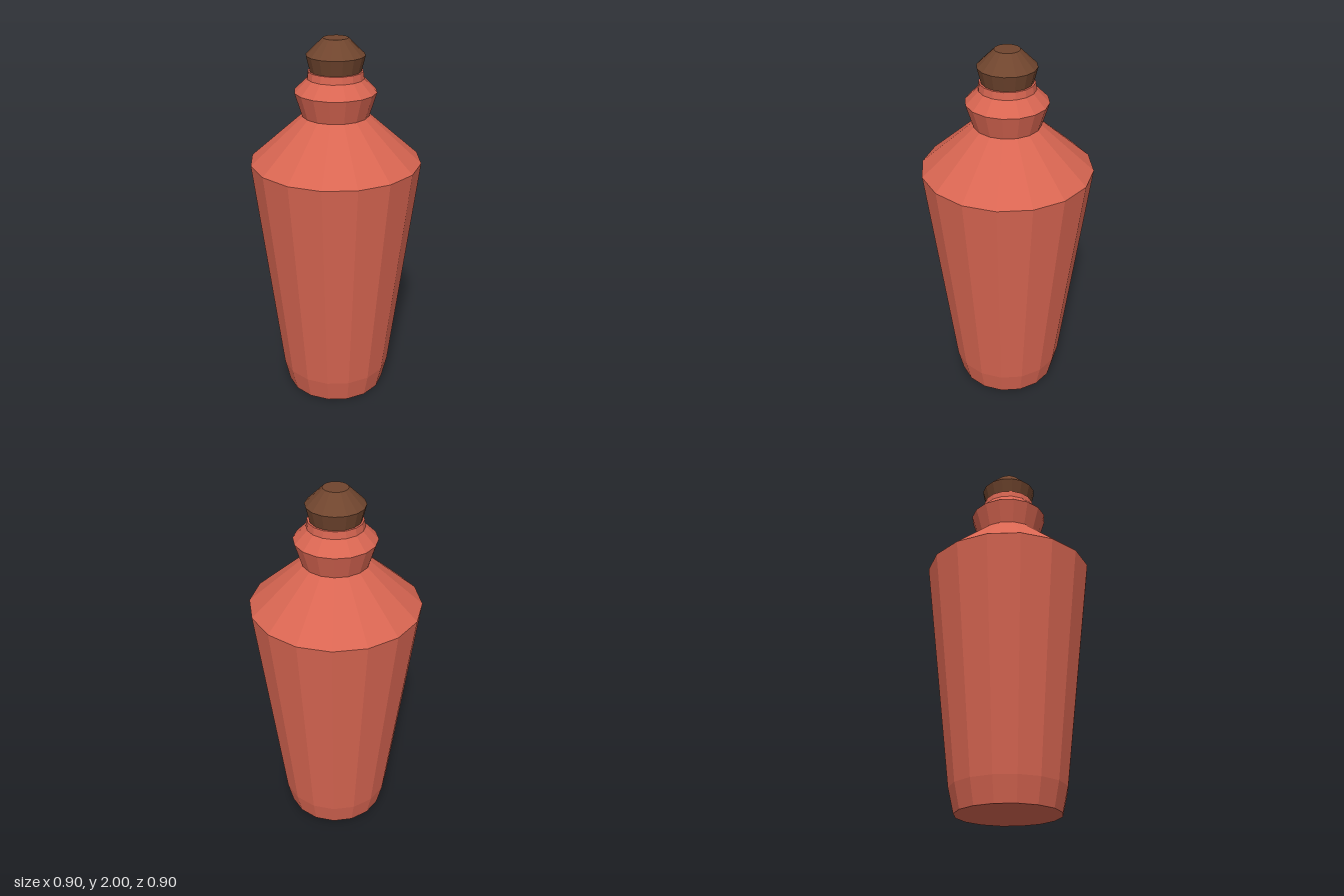
import * as THREE from 'three';

const SIDES = 16;

// Faceted solid of revolution from [radius, height] pairs, bottom to top
function turned(name, profile, color) {
  const points = profile.map(([r, y]) => new THREE.Vector2(r, y));
  const mesh = new THREE.Mesh(
    new THREE.LatheGeometry(points, SIDES),
    new THREE.MeshStandardMaterial({ color, flatShading: true })
  );
  mesh.name = name;
  return mesh;
}

export function createModel() {
  const group = new THREE.Group();
  group.name = 'bottle';

  // Tapered body, sloped shoulder, flared collar and short lip
  group.add(turned('bottleBody', [
    [0, 0], [0.275, 0], [0.305, 0.13], [0.452, 1.36],
    [0.175, 1.605], [0.214, 1.73], [0.147, 1.797], [0.142, 1.835], [0, 1.835],
  ], 0xd96652));

  // Stopper, widening above the lip and bevelled to a flat top
  group.add(turned('stopper', [
    [0, 1.81], [0.125, 1.81], [0.132, 1.835], [0.152, 1.915], [0.065, 2], [0, 2],
  ], 0x70452e));

  return group;
}
